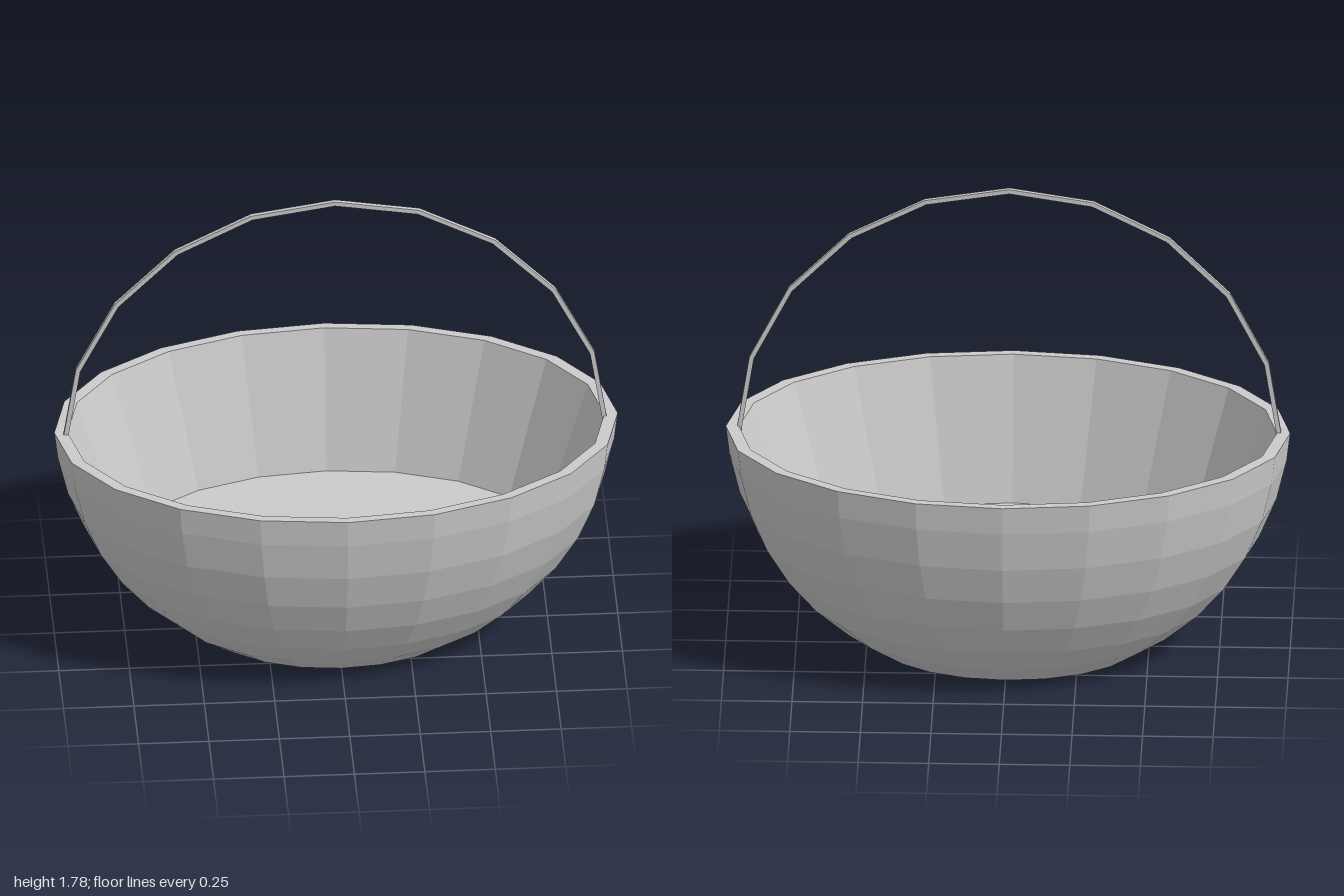
import * as THREE from 'three';

const SIDES = 20, STEP = Math.PI / 10, DEPTH = 0.66;

function part(name, geometry) {
  const flat = geometry.index ? geometry.toNonIndexed() : geometry;
  flat.computeVertexNormals();
  const mesh = new THREE.Mesh(flat, new THREE.MeshStandardMaterial({ color: 0xcccccc, flatShading: true }));
  mesh.name = name;
  return mesh;
}

// Oval bowl: spherical outside cut flat at the base, straight sloping inside
function bowl() {
  const centreY = 0.891;
  const profile = [new THREE.Vector2(0, 0)];
  for (let k = 7; k >= 1; k--) {
    const a = k * Math.PI / 20;
    profile.push(new THREE.Vector2(Math.cos(a), centreY - Math.sin(a)));
  }
  for (const [r, y] of [[1, 0.84], [0.953, 0.84], [0.785, 0.31], [0, 0.31]]) {
    profile.push(new THREE.Vector2(r, y));
  }
  return part('bowl', new THREE.LatheGeometry(profile, SIDES).scale(1, 1, DEPTH));
}

// Thin faceted half hoop with a square section
function handle() {
  const points = [];
  const arc = (r, from, to) => {
    const dir = Math.sign(to - from);
    for (let i = from; i !== to + dir; i += dir) {
      points.push(new THREE.Vector2(r * Math.cos(i * STEP), r * Math.sin(i * STEP)));
    }
  };
  arc(0.968, 0, 10);
  arc(0.951, 10, 0);
  const geometry = new THREE.ExtrudeGeometry(new THREE.Shape(points), { depth: 0.016, bevelEnabled: false });
  const mesh = part('handle', geometry);
  mesh.position.set(-0.004, 0.81, 0.002);
  return mesh;
}

export function createModel() {
  const group = new THREE.Group();
  group.name = 'basket';
  group.add(bowl(), handle());
  return group;
}
